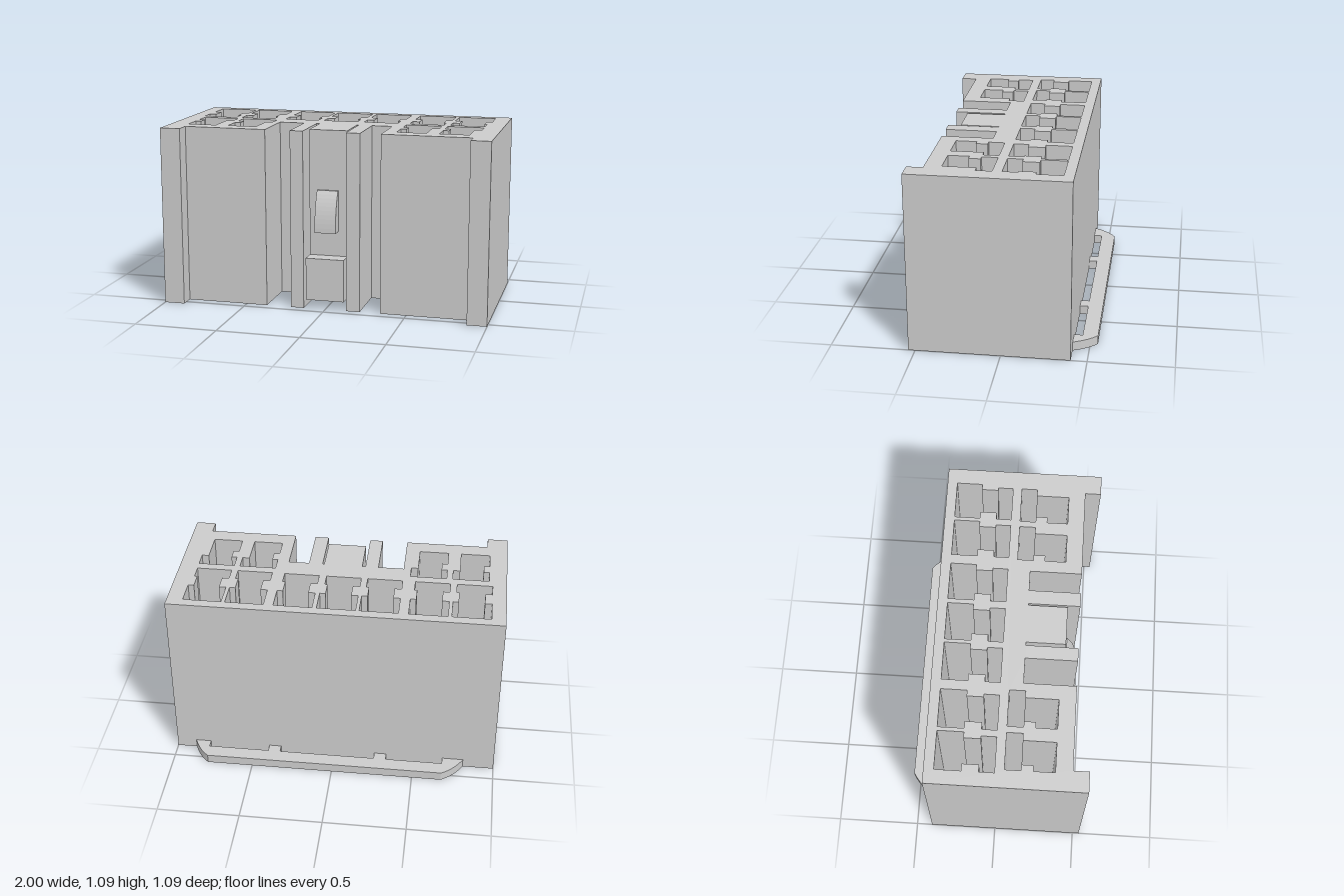
import * as THREE from 'three';

const HEIGHT = 1.09, FLOOR = 0.08;

export function createModel() {
  const group = new THREE.Group();
  const material = new THREE.MeshStandardMaterial({ color: 0xcccccc, flatShading: true });

  const add = (name, geometry) => {
    const mesh = new THREE.Mesh(geometry, material);
    mesh.name = name;
    group.add(mesh);
  };
  // Plan points are [x, z]
  const plan = (pts, Type = THREE.Shape) => new Type(pts.map(([x, z]) => new THREE.Vector2(x, -z)));
  const extrudeUp = (shape, y0, y1) =>
    new THREE.ExtrudeGeometry(shape, { depth: y1 - y0, bevelEnabled: false, curveSegments: 8 })
      .rotateX(-Math.PI / 2).translate(0, y0, 0);
  // Side profiles are drawn in (z, y) and swept across x
  const extrudeAcross = (shape, x0, x1) =>
    new THREE.ExtrudeGeometry(shape, { depth: x1 - x0, bevelEnabled: false, curveSegments: 10 })
      .rotateY(-Math.PI / 2).translate(x1, 0, 0);

  // Housing footprint with corner ribs, front notches and guide bars
  const footprint = [
    [-1, -0.405], [-1, 0.54], [-0.875, 0.54], [-0.875, 0.445], [-0.37, 0.445], [-0.37, 0.135],
    [-0.215, 0.135], [-0.215, 0.445], [-0.135, 0.445], [-0.135, 0.135],
    [0.13, 0.135], [0.13, 0.445], [0.215, 0.445], [0.215, 0.135],
    [0.34, 0.135], [0.34, 0.445], [0.88, 0.445], [0.88, 0.54], [1, 0.54], [1, -0.405],
  ];

  // Terminal pockets: two stepped outlines, repeated along each row
  const backPocket = [
    [0, -0.345], [0.23, -0.345], [0.23, -0.19], [0.195, -0.19], [0.195, -0.09], [0.212, -0.09],
    [0.212, 0], [0, 0], [0, -0.09], [0.042, -0.09], [0.042, -0.19], [0, -0.19],
  ];
  const frontPocket = [
    [0, 0.055], [0.22, 0.055], [0.22, 0.15], [0.178, 0.15], [0.178, 0.345],
    [0, 0.345], [0, 0.22], [0.035, 0.22], [0.035, 0.15], [0, 0.15],
  ];
  const rows = [
    [backPocket, [-0.915, -0.663, -0.374, -0.123, 0.134, 0.422, 0.674]],
    [frontPocket, [-0.893, -0.636, 0.412, 0.668]],
  ];
  const pocketed = plan(footprint);
  for (const [outline, lefts] of rows)
    for (const left of lefts)
      pocketed.holes.push(plan(outline.map(([x, z]) => [x + left, z]), THREE.Path));
  add('housing', extrudeUp(pocketed, FLOOR, HEIGHT));
  add('housingFloor', extrudeUp(plan(footprint), 0, FLOOR));

  // Latch tongue with its stepped foot, between the guide bars
  const tongue = new THREE.Shape([
    [0.135, 0.06], [0.465, 0.06], [0.465, 0.32], [0.37, 0.32], [0.37, HEIGHT], [0.135, HEIGHT],
  ].map(p => new THREE.Vector2(...p)));
  add('latchTongue', extrudeAcross(tongue, -0.115, 0.12));

  // Curved latch catch
  const latchCatch = new THREE.Shape();
  latchCatch.moveTo(0.36, 0.475);
  latchCatch.lineTo(0.445, 0.475);
  latchCatch.quadraticCurveTo(0.445, 0.62, 0.385, 0.725);
  latchCatch.lineTo(0.36, 0.725);
  latchCatch.closePath();
  add('latchCatch', extrudeAcross(latchCatch, -0.065, 0.065));

  // Back rail with rounded ends and three open slots against the housing
  const rail = new THREE.Shape();
  rail.moveTo(-0.81, 0.405);
  rail.quadraticCurveTo(-0.76, 0.5, -0.68, 0.545);
  rail.lineTo(0.78, 0.545);
  rail.quadraticCurveTo(0.84, 0.5, 0.88, 0.405);
  for (const [right, left] of [[0.785, 0.41], [0.335, -0.255], [-0.33, -0.68]]) {
    rail.lineTo(right, 0.405);
    rail.lineTo(right, 0.455);
    rail.lineTo(left, 0.455);
    rail.lineTo(left, 0.405);
  }
  rail.closePath();
  add('backRail', extrudeUp(rail, 0, 0.055));

  return group;
}
